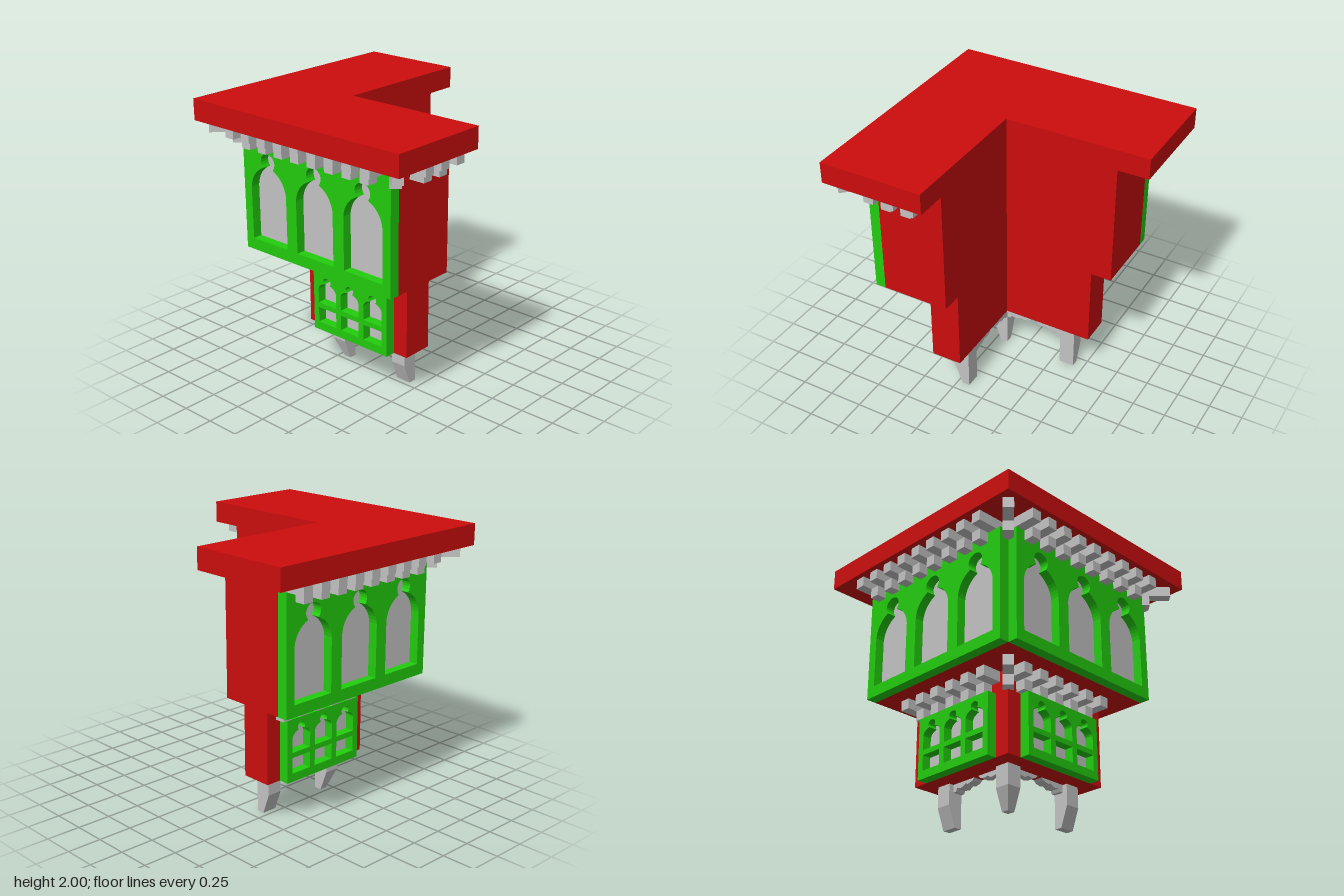
import * as THREE from 'three';

const U = 1 / 13; // building module
const red = new THREE.MeshStandardMaterial({ name: 'red wall', color: 0xcc0d0d });
const green = new THREE.MeshStandardMaterial({ name: 'green frame', color: 0x22cc0e });
const grey = new THREE.MeshStandardMaterial({ name: 'grey stone', color: 0xc3c3c3 });

function add(parent, name, geo, mat) {
  const m = new THREE.Mesh(geo, mat);
  m.name = name;
  parent.add(m);
  return m;
}

function box(parent, name, mat, x0, x1, y0, y1, z0, z1) {
  const m = add(parent, name, new THREE.BoxGeometry(x1 - x0, y1 - y0, z1 - z0), mat);
  m.position.set((x0 + x1) / 2, (y0 + y1) / 2, (z0 + z1) / 2);
  return m;
}

const polygon = pts => new THREE.Shape(pts.map(p => new THREE.Vector2(...p)));
const extrude = (shape, depth) =>
  new THREE.ExtrudeGeometry(shape, { depth, bevelEnabled: false, curveSegments: 8 });

// L-shaped storey, open towards +x +z
function storey(parent, name, min, max, y0, y1) {
  const geo = extrude(polygon([[min, min], [max, min], [max, -2], [-2, -2], [-2, max], [min, max]]), y1 - y0);
  geo.rotateX(Math.PI / 2);
  add(parent, name, geo, red).position.y = y1;
}

// Arched opening with a small round lobe on top
function archPath(cx, w, y0, spring, neck, r, top) {
  const h = w / 2, p = new THREE.Path();
  p.moveTo(cx - h, y0);
  p.lineTo(cx + h, y0);
  p.lineTo(cx + h, spring);
  p.quadraticCurveTo(cx + h * 0.92, neck - (neck - spring) * 0.3, cx + r * 0.75, neck);
  p.bezierCurveTo(cx + r * 1.4, neck + (top - neck) * 0.5, cx + r * 0.8, top, cx, top);
  p.bezierCurveTo(cx - r * 0.8, top, cx - r * 1.4, neck + (top - neck) * 0.5, cx - r * 0.75, neck);
  p.quadraticCurveTo(cx - h * 0.92, neck - (neck - spring) * 0.3, cx - h, spring);
  p.lineTo(cx - h, y0);
  return p;
}

function rectPath(cx, w, y0, y1) {
  const p = new THREE.Path();
  p.moveTo(cx - w / 2, y0);
  p.lineTo(cx + w / 2, y0);
  p.lineTo(cx + w / 2, y1);
  p.lineTo(cx - w / 2, y1);
  p.closePath();
  return p;
}

// Pierced window screen with a grey pane behind; outer face at local z = 0
function screen(name, length, height, holes) {
  const g = new THREE.Group();
  g.name = name;
  const h = length / 2;
  const shape = polygon([[-h, 0], [h, 0], [h, height], [-h, height]]);
  shape.holes.push(...holes);
  add(g, 'windowFrame', extrude(shape, 1), green);
  box(g, 'windowPane', grey, -h + 0.2, h - 0.2, 0.2, height - 0.2, 0.9, 1);
  return g;
}

// Checkered row of corbels; local +x runs along the wall, -z points outward
function corbelRow(name, start, count, y, wall, lowReach, highReach) {
  const g = new THREE.Group();
  g.name = name;
  for (let i = 0; i < count; i++) {
    const x = start + i * 2;
    box(g, 'upperCorbel', grey, x, x + 1, y + 1, y + 2, -highReach, -wall);
    if (i < count - 1) box(g, 'lowerCorbel', grey, x + 1, x + 2, y, y + 1, -lowReach, -wall);
  }
  return g;
}

// Diagonal corner corbel; distances are measured along each axis
function cornerCorbel(parent, angle, y, inner, lowReach, highReach) {
  const g = new THREE.Group(), d = Math.SQRT2;
  g.name = 'cornerCorbel';
  box(g, 'upperCorbel', grey, -0.5, 0.5, y + 1, y + 2, -highReach * d, -inner * d);
  box(g, 'lowerCorbel', grey, -0.5, 0.5, y, y + 1, -lowReach * d, -inner * d);
  g.rotation.y = angle;
  parent.add(g);
}

// Foot whose lower half tapers on the chosen outer sides
function leg(parent, name, x, z, taperX, taperZ) {
  const geo = new THREE.BoxGeometry(1.5, 4, 1.5, 1, 2, 1).toNonIndexed();
  const p = geo.attributes.position;
  for (let i = 0; i < p.count; i++) {
    if (p.getY(i) > -1.9) continue;
    if (taperX && p.getX(i) < 0) p.setX(i, 0);
    if (taperZ && p.getZ(i) < 0) p.setZ(i, 0);
  }
  geo.computeVertexNormals();
  add(parent, name, geo, grey).position.set(x, 2, z);
}

// Scalloped valance between two legs, split at the middle
function valance() {
  const g = new THREE.Group();
  g.name = 'valance';
  const half = [[0.25, 4], [0.5, 3.75], [1.1, 3.6], [1.4, 3.72], [1.9, 3.45], [2.5, 3.55], [2.65, 3.25], [3, 3.25], [3, 4]];
  for (const s of [1, -1]) add(g, 'scallop', extrude(polygon(half.map(([x, y]) => [x * s, y])), 1), grey);
  return g;
}

export function createModel() {
  const root = new THREE.Group();
  root.name = 'cornerBay';
  const body = new THREE.Group();
  body.name = 'body';
  body.scale.setScalar(U);
  root.add(body);

  storey(body, 'roof', -12, 12, 24, 26);
  storey(body, 'upperStorey', -8.5, 9, 12, 24);
  storey(body, 'lowerStorey', -5, 7, 4, 12);

  // Put the same part on the back wall and on the side wall
  const both = (make, along, y, out) => {
    const back = make();
    back.position.set(along, y, -out);
    const side = make();
    side.rotation.y = Math.PI / 2;
    side.position.set(-out, y, along);
    body.add(back, side);
  };

  // Window screens
  both(() => screen('upperScreen', 17.5, 11,
    [-1, 0, 1].map(i => archPath(i * 5.65, 4.4, 1.1, 6.1, 8.2, 0.85, 9.6))), 0.25, 12, 9.5);
  both(() => screen('lowerScreen', 9, 6, [-1, 0, 1].flatMap(i => [
    rectPath(i * 2.8, 2.2, 0.8, 2.3),
    archPath(i * 2.8, 2.2, 2.8, 4.2, 4.85, 0.45, 5.5),
  ])), 1, 4, 6);

  // Corbels under the roof and under the upper storey
  both(() => corbelRow('upperCorbels', -8.25, 9, 22, 8.5, 10.5, 11.5), 0.25, 0, 0);
  both(() => corbelRow('lowerCorbels', -5, 6, 10, 5, 6, 7), 1, 0, 0);
  const front = corbelRow('frontCorbels', 3.15, 3, 22, 9, 10.5, 11.5);
  front.rotation.y = Math.PI;
  body.add(front);
  cornerCorbel(body, Math.PI / 4, 22, 8.2, 9.65, 11.1);
  cornerCorbel(body, Math.PI * 3 / 4, 22, 8.5, 9.65, 11.1);
  cornerCorbel(body, Math.PI / 4, 10, 4.8, 5.6, 6.9);

  // Legs and valances
  leg(body, 'cornerLeg', -2.75, -2.75, true, true);
  leg(body, 'sideLeg', 4.75, -2.75, false, true);
  leg(body, 'frontLeg', -2.75, 4.75, true, false);
  both(valance, 1, 0, 3);

  return root;
}
